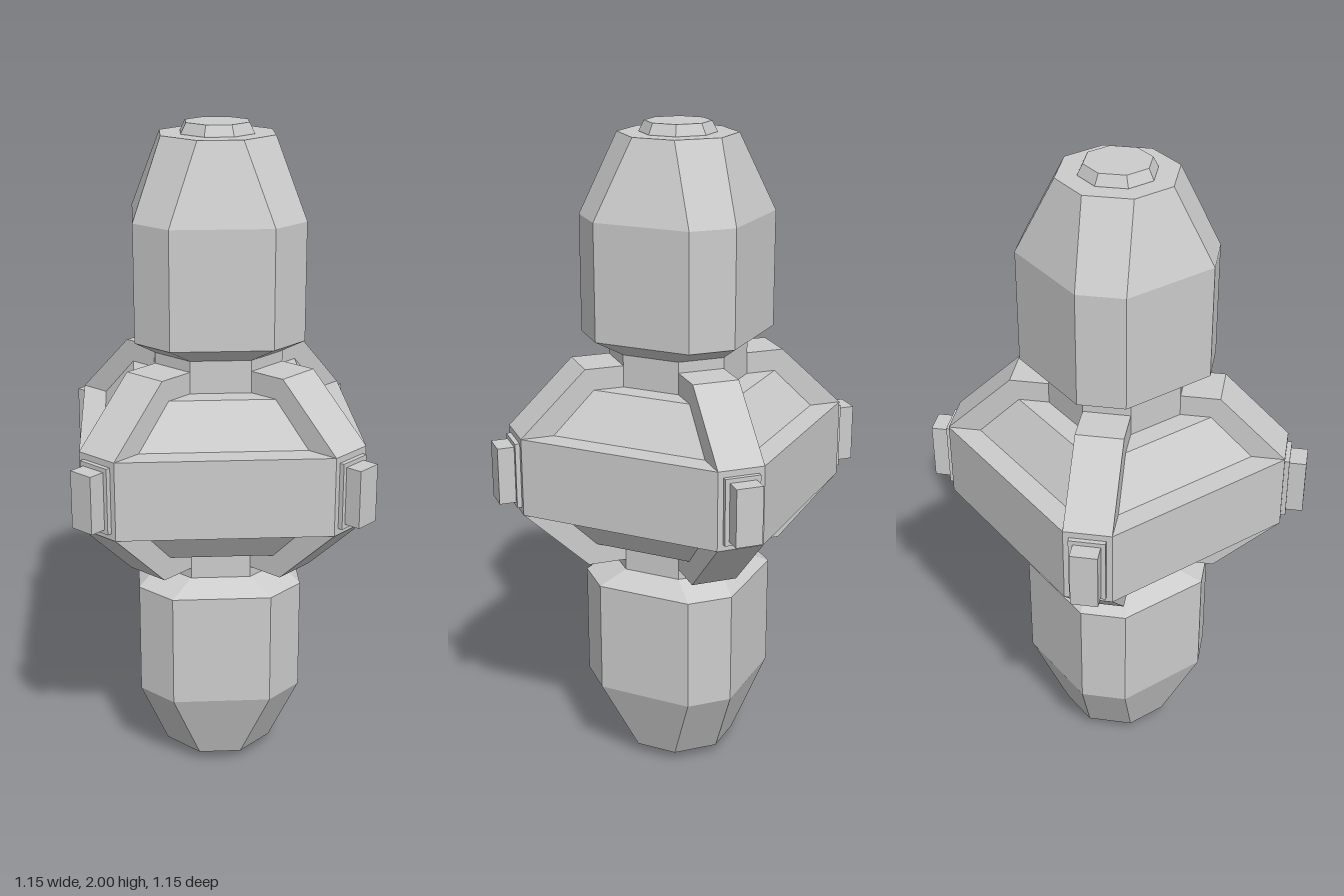
import * as THREE from 'three';

const material = new THREE.MeshStandardMaterial({ color: 0xcccccc, flatShading: true });
const MID = 1, HALF = 0.07; // mid height, half width of the narrow octagon faces

function part(name, geometry) {
  const mesh = new THREE.Mesh(geometry, material);
  mesh.name = name;
  return mesh;
}

// Cut-corner diamond: narrow faces on the axes, wide faces on the diagonals
function ring([r, y, h = HALF]) {
  return [[h, r], [r, h], [r, -h], [h, -r], [-h, -r], [-r, -h], [-r, h], [-h, r]]
    .map(([x, z]) => [x, y, z]);
}

// Closed solid through rings [radius, height, half width], listed bottom to top
function loft(sections) {
  const rings = sections.map(ring), pos = [];
  const tri = (...corners) => corners.forEach((c) => pos.push(...c));
  for (let i = 0; i < rings.length - 1; i++) {
    const a = rings[i], b = rings[i + 1];
    for (let j = 0; j < 8; j++) {
      const k = (j + 1) % 8;
      tri(a[j], a[k], b[k]);
      tri(a[j], b[k], b[j]);
    }
  }
  const low = rings[0], high = rings[rings.length - 1];
  for (let j = 1; j < 7; j++) {
    tri(low[0], low[j + 1], low[j]);
    tri(high[0], high[j], high[j + 1]);
  }
  const g = new THREE.BufferGeometry();
  g.setAttribute('position', new THREE.Float32BufferAttribute(pos, 3));
  g.computeVertexNormals();
  return g;
}

// Rings given as offsets from mid height, for the upper or lower side
function sided(sections, side) {
  const s = sections.map(([r, y, h]) => [r, MID + side * y, h]);
  return side > 0 ? s : s.reverse();
}

// Arched rib, extruded across its width, reaching outward along +x
function ribGeometry() {
  const outline = [[0.15, -0.31], [0.313, -0.31], [0.511, -0.119],
    [0.511, 0.119], [0.313, 0.31], [0.15, 0.31]];
  const hole = [[0.18, -0.2], [0.18, 0.2], [0.3, 0.2], [0.4, 0.1], [0.4, -0.1], [0.3, -0.2]];
  const shape = new THREE.Shape(outline.map(([x, y]) => new THREE.Vector2(x, y)));
  shape.holes.push(new THREE.Path(hole.map(([x, y]) => new THREE.Vector2(x, y))));
  const g = new THREE.ExtrudeGeometry(shape, { depth: 2 * HALF, bevelEnabled: false });
  return g.translate(0, MID, -HALF);
}

export function createModel() {
  const model = new THREE.Group();
  model.name = 'capsuleDevice';

  // Central column, sloped core and the wide belt around it
  model.add(part('neck', loft([[0.196, MID - 0.36], [0.196, MID + 0.36]])));
  model.add(part('core', loft([[0.287, MID - 0.245], [0.412, MID - 0.119],
    [0.412, MID + 0.119], [0.287, MID + 0.245]])));
  model.add(part('belt', loft([[0.511, MID - 0.119], [0.511, MID + 0.119]])));

  // Matching capsules above and below, each with a small end cap
  for (const [side, label] of [[1, 'upper'], [-1, 'lower']]) {
    model.add(part(label + 'Capsule', loft(sided(
      [[0.196, 0.343], [0.28, 0.388], [0.28, 0.737], [0.162, 0.968]], side))));
    model.add(part(label + 'EndCap', loft(sided(
      [[0.104, 0.96, 0.045], [0.104, 0.97, 0.045], [0.09, 1, 0.038]], side))));
  }

  // Ribs with stepped bosses on the four corners
  const rib = ribGeometry();
  const plate = new THREE.BoxGeometry(0.04, 0.2, 0.106).translate(0.505, MID, 0);
  const boss = new THREE.BoxGeometry(0.08, 0.174, 0.08).translate(0.535, MID, 0);
  ['left', 'back', 'right', 'front'].forEach((label, i) => {
    const corner = new THREE.Group();
    corner.name = label + 'Corner';
    corner.add(part('rib', rib), part('bossPlate', plate), part('boss', boss));
    corner.rotation.y = i * Math.PI / 2;
    model.add(corner);
  });

  return model;
}
